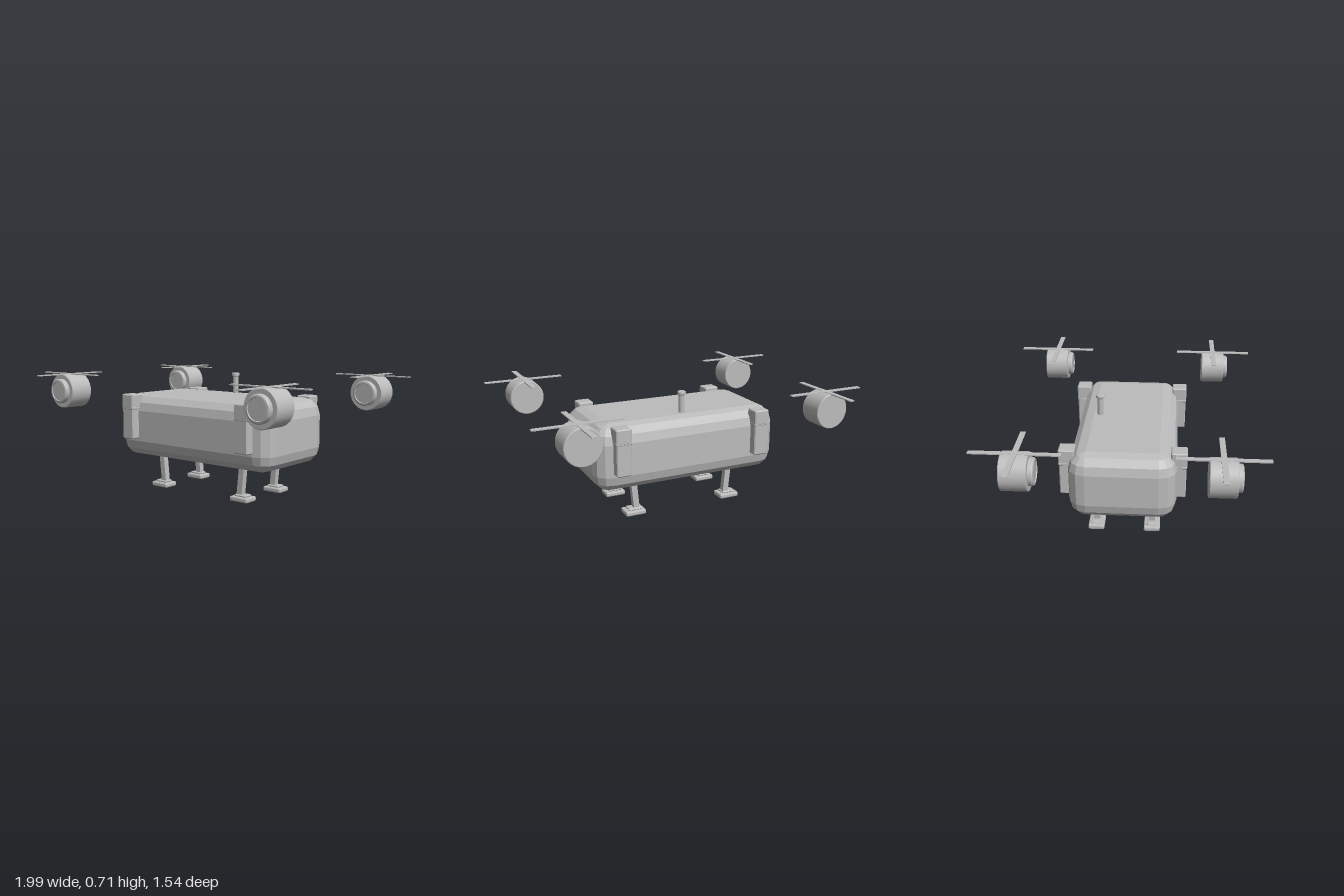
import * as THREE from 'three';
import { ConvexGeometry } from 'three/addons/geometries/ConvexGeometry.js';
import { toCreasedNormals } from 'three/addons/utils/BufferGeometryUtils.js';

const grey = new THREE.MeshStandardMaterial({ color: 0xbcbcbc });
grey.name = 'plain grey';

// Box with bevelled edges: the hull of an eighth of a faceted ball at every corner
function bevelBox(w, h, d, r, bands) {
  const points = [];
  for (const sx of [-1, 1]) for (const sy of [-1, 1]) for (const sz of [-1, 1])
    for (let i = 0; i <= bands; i++) {
      const tilt = (i / bands) * Math.PI / 2;
      for (let j = 0; j <= (i === bands ? 0 : bands); j++) {
        const turn = (j / bands) * Math.PI / 2;
        points.push(new THREE.Vector3(
          sx * (w / 2 - r + r * Math.cos(tilt) * Math.cos(turn)),
          sy * (h / 2 - r + r * Math.sin(tilt)),
          sz * (d / 2 - r + r * Math.cos(tilt) * Math.sin(turn))));
      }
    }
  return new ConvexGeometry(points);
}

function add(parent, name, geometry, x = 0, y = 0, z = 0) {
  const mesh = new THREE.Mesh(geometry, grey);
  mesh.name = name;
  mesh.position.set(x, y, z);
  parent.add(mesh);
  return mesh;
}

// Lathe around z, given [radius, z] pairs from back to front
function turned(pairs, sides) {
  const g = new THREE.LatheGeometry(pairs.map(p => new THREE.Vector2(...p)), sides);
  g.rotateX(Math.PI / 2);
  return toCreasedNormals(g, 0.5);
}

// Motor pod facing forward, with a four-blade rotor lying across its top
function rotorPod(name) {
  const pod = new THREE.Group();
  pod.name = name;
  add(pod, 'podBarrel', turned([[0, -0.073], [0.1, -0.073], [0.104, -0.069],
    [0.104, 0.069], [0.1, 0.073], [0, 0.073]], 40));
  add(pod, 'podRing', turned([[0.075, 0.07], [0.075, 0.092], [0.07, 0.1],
    [0.06, 0.102], [0.057, 0.097], [0, 0.097]], 40));
  for (let i = 0; i < 4; i++) {
    const blade = new THREE.BoxGeometry(0.24, 0.006, 0.03);
    blade.translate(0.121, 0, 0);
    add(pod, 'rotorBlade', blade, 0, 0.102, 0).rotation.y = i * Math.PI / 2;
  }
  return pod;
}

// Corner bracket: tall pad with a strap and a thicker cap
function bracket() {
  const g = new THREE.Group();
  g.name = 'bracket';
  add(g, 'bracketPad', bevelBox(0.09, 0.2, 0.084, 0.006, 1), 0, 0.412, 0.311);
  add(g, 'bracketStrap', bevelBox(0.096, 0.016, 0.088, 0.004, 1), 0, 0.502, 0.311);
  add(g, 'bracketCap', bevelBox(0.093, 0.088, 0.09, 0.006, 1), 0, 0.544, 0.311);
  return g;
}

// Leg leaning slightly inwards on a square foot
function leg() {
  const g = new THREE.Group();
  g.name = 'leg';
  const strut = new THREE.BoxGeometry(0.036, 0.2, 0.036);
  const p = strut.attributes.position;
  for (let i = 0; i < p.count; i++) p.setX(i, p.getX(i) + p.getY(i) * 0.1);
  strut.computeVertexNormals();
  add(g, 'legStrut', strut, 0.31, 0.13, 0.165);
  add(g, 'footCollar', bevelBox(0.08, 0.012, 0.062, 0.004, 1), 0.315, 0.034, 0.165);
  add(g, 'foot', bevelBox(0.125, 0.029, 0.095, 0.008, 2), 0.315, 0.0145, 0.165);
  return g;
}

export function createModel() {
  const model = new THREE.Group();
  model.name = 'quadRotorCraft';

  add(model, 'body', bevelBox(1.16, 0.39, 0.605, 0.1, 3), 0, 0.39, 0);

  // Four corners: pods all face forward, brackets and legs are turned outward
  for (const sx of [-1, 1]) for (const sz of [-1, 1]) {
    const pod = rotorPod('rotorPod');
    pod.position.set(sx * 0.755, 0.608, sz * 0.53);
    model.add(pod);

    const clamp = bracket();
    clamp.position.x = sx * 0.44;
    clamp.rotation.y = sz > 0 ? 0 : Math.PI;
    model.add(clamp);

    const support = leg();
    support.scale.set(sx, 1, sz);
    model.add(support);
  }

  // Antenna near the back
  add(model, 'antennaMast', new THREE.CylinderGeometry(0.018, 0.018, 0.11, 24), 0, 0.638, -0.165);
  const cap = new THREE.LatheGeometry([[0, 0], [0.021, 0], [0.025, 0.005], [0.025, 0.018],
    [0.021, 0.022], [0, 0.022]].map(p => new THREE.Vector2(...p)), 24);
  add(model, 'antennaCap', toCreasedNormals(cap, 0.5), 0, 0.69, -0.165);

  return model;
}
